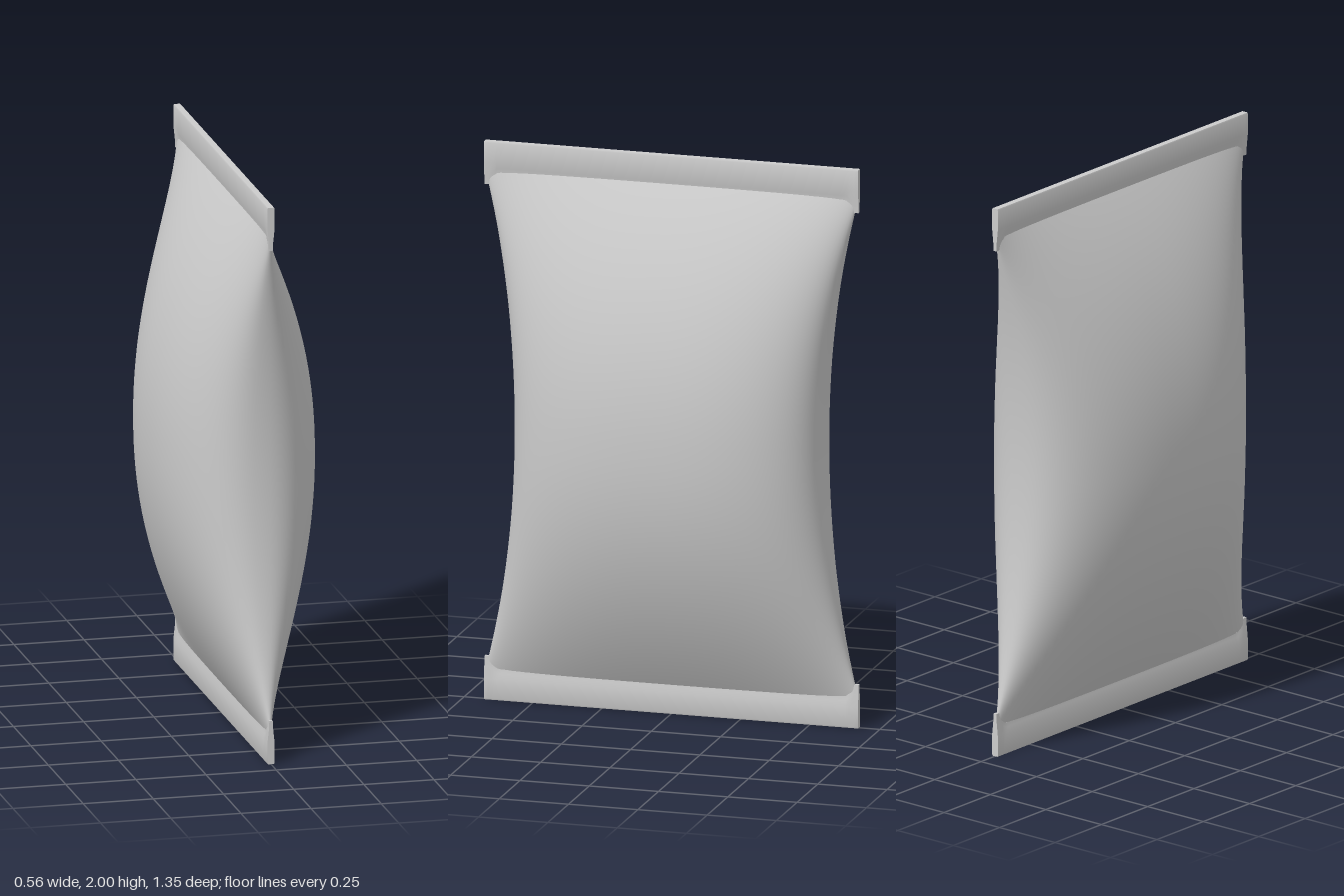
import * as THREE from 'three';
import { ParametricGeometry } from 'three/addons/geometries/ParametricGeometry.js';
import { toCreasedNormals } from 'three/addons/utils/BufferGeometryUtils.js';

const HALF_WIDTH = 0.675;   // seal half width along z
const HALF_BAG = 0.9;       // puffed body half height

const signedPow = (v, e) => Math.sign(v) * Math.abs(v) ** e;

// Puffed body: superellipse sections, wide and flat at the ends, narrow and fat in the middle
function bodyGeometry() {
  return new ParametricGeometry((u, v, target) => {
    const angle = u * Math.PI * 2;
    const h = v * 2 - 1;
    const width = 0.555 + 0.12 * h * h;
    const thickness = 0.005 + 0.273 * (1 - Math.abs(h) ** 2.1);
    target.set(
      thickness * signedPow(Math.sin(angle), 2 / 2.4),
      h * HALF_BAG,
      width * signedPow(Math.cos(angle), 2 / 2.4)
    );
  }, 96, 80);
}

// Crimped strip, pinched where it meets the body, with small tucks at its corners
function sealGeometry() {
  const side = [[0.006, 0.89], [0.008, 0.905], [0.013, 0.925], [0.013, 0.995], [0.011, 1]];
  const outline = [
    ...side.map(([x, y]) => new THREE.Vector2(x, y)),
    ...side.map(([x, y]) => new THREE.Vector2(-x, y)).reverse(),
  ];
  const geometry = new THREE.ExtrudeGeometry(new THREE.Shape(outline), {
    depth: HALF_WIDTH * 2, steps: 90, bevelEnabled: false,
  });
  geometry.translate(0, 0, -HALF_WIDTH);

  // pull the lower edge down at both corners
  const p = geometry.attributes.position;
  for (let i = 0; i < p.count; i++) {
    const drop = THREE.MathUtils.smoothstep(Math.abs(p.getZ(i)), 0.625, 0.66);
    const low = THREE.MathUtils.clamp((0.925 - p.getY(i)) / 0.035, 0, 1);
    p.setY(i, p.getY(i) - 0.045 * drop * low);
  }
  return toCreasedNormals(geometry, 0.6);
}

export function createModel() {
  const material = new THREE.MeshStandardMaterial({ color: 0xcccccc });
  const model = new THREE.Group();
  model.name = 'pillowPacket';

  const add = (name, geometry) => {
    const mesh = new THREE.Mesh(geometry, material);
    mesh.name = name;
    mesh.position.y = 1;
    model.add(mesh);
    return mesh;
  };

  add('puffedBody', bodyGeometry());
  const seal = sealGeometry();
  add('topSeal', seal);
  add('bottomSeal', seal).rotation.z = Math.PI;

  return model;
}
